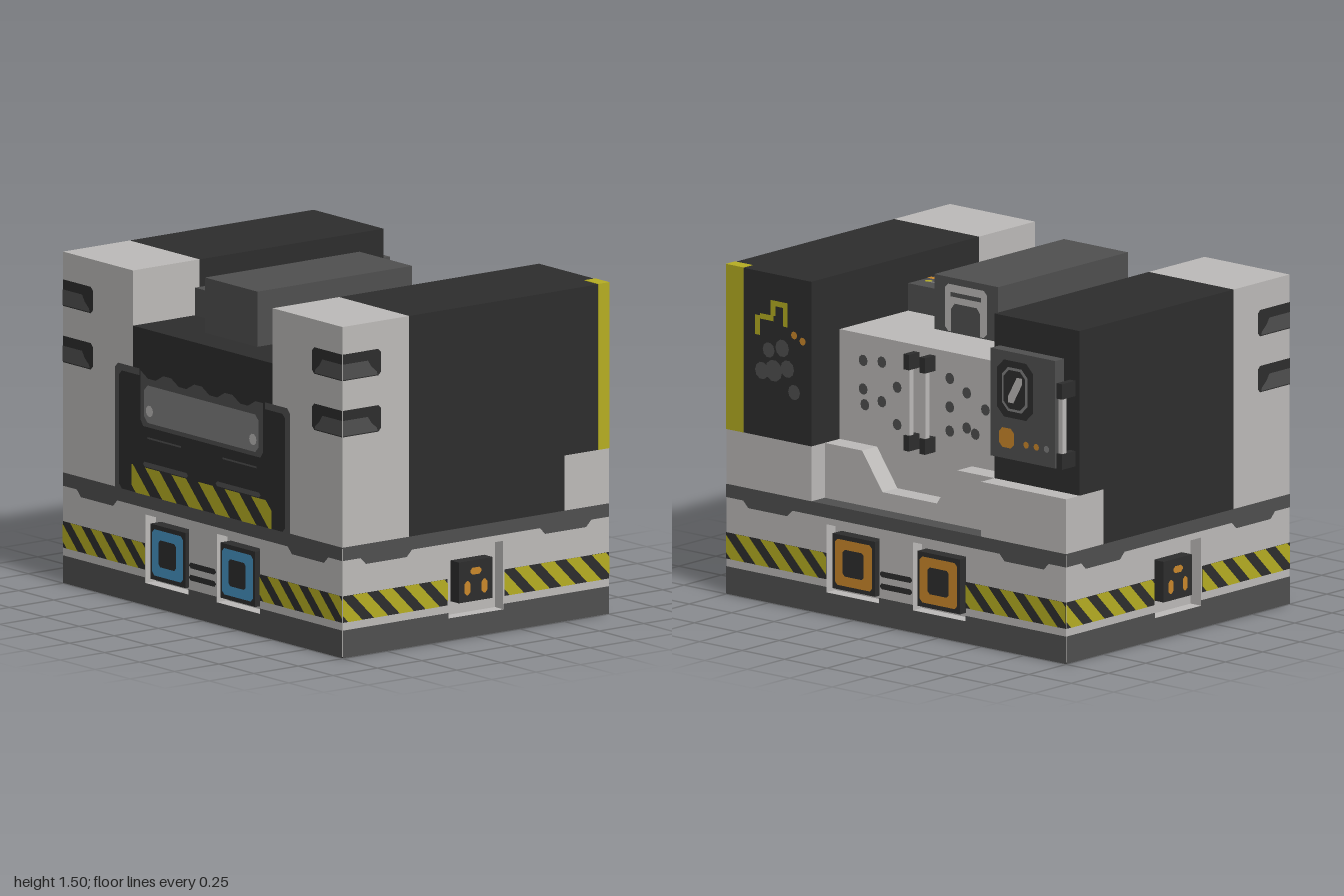
import * as THREE from 'three';

const mat = (name, color) => Object.assign(new THREE.MeshStandardMaterial({ color }), { name });
const M = {
  light: mat('light grey', 0xbcbab8), dark: mat('dark grey', 0x4f4f4f), black: mat('charcoal', 0x2d2d2d),
  mid: mat('mid grey', 0x7d7d7d), yellow: mat('yellow', 0xb5ad22), orange: mat('orange', 0xc9872b),
  blue: mat('blue', 0x4695c4),
};

function add(parent, name, geo, m) {
  const mesh = new THREE.Mesh(geo, m);
  mesh.name = name;
  parent.add(mesh);
  return mesh;
}
// box given by its limits
function box(parent, name, m, x0, x1, y0, y1, z0, z1) {
  const b = add(parent, name, new THREE.BoxGeometry(x1 - x0, y1 - y0, z1 - z0), m);
  b.position.set((x0 + x1) / 2, (y0 + y1) / 2, (z0 + z1) / 2);
  return b;
}
const shape = (pts) => new THREE.Shape(pts.map((p) => new THREE.Vector2(p[0], p[1])));
const rect = (x0, x1, y0, y1) => [[x0, y0], [x1, y0], [x1, y1], [x0, y1]];
const mirrorX = (pts) => pts.map(([x, y]) => [-x, y]);
// rectangle with cut corners
const cut = (x0, x1, y0, y1, c) => [[x0 + c, y0], [x1 - c, y0], [x1, y0 + c], [x1, y1 - c],
  [x1 - c, y1], [x0 + c, y1], [x0, y1 - c], [x0, y0 + c]];
// flat painted face, lifted a little per layer
function paint(parent, name, m, pts, layer = 1) {
  const f = add(parent, name, new THREE.ShapeGeometry(shape(pts)), m);
  f.position.z = 0.002 * layer;
  return f;
}
function disc(parent, name, m, x, y, r, layer = 1) {
  add(parent, name, new THREE.CircleGeometry(r, 10), m).position.set(x, y, 0.002 * layer);
}
// local frame on a wall: x right, y up, z outward
function wall(parent, name, x, z, turn) {
  const g = new THREE.Group();
  g.name = name;
  g.position.set(x, 0, z);
  g.rotation.y = turn;
  parent.add(g);
  return g;
}
// charcoal strip with slanted yellow stripes, clipped to the strip
function hazard(parent, x0, x1, y0, y1, period) {
  paint(parent, 'hazardStrip', M.black, rect(x0, x1, y0, y1), 1);
  const h = y1 - y0, w = period * 0.55;
  for (let x = x0 - h + 0.03; x < x1; x += period) {
    const pts = [];
    const ends = [[x + h, y0], [x + h + w, y0], [x + w, y1], [x, y1]];
    // clip the slanted stripe against both ends
    let poly = ends;
    for (const [lim, s] of [[x0, 1], [x1, -1]]) {
      const out = [];
      poly.forEach((a, i) => {
        const b = poly[(i + 1) % poly.length];
        const da = (a[0] - lim) * s, db = (b[0] - lim) * s;
        if (da >= 0) out.push(a);
        if (da * db < 0) out.push([lim, a[1] + (b[1] - a[1]) * da / (da - db)]);
      });
      poly = out;
    }
    pts.push(...poly);
    if (pts.length > 2) paint(parent, 'hazardStripe', M.yellow, pts, 2);
  }
}

// one side of the base: recessed panel, trim, skirt and hazard strips
function baseSide(g, w, centres) {
  const panel = shape(rect(-w, w, 0.006, 0.494));
  centres.forEach((c) => panel.holes.push(new THREE.Path(
    rect(c - 0.155, c + 0.155, 0.1, 0.41).map((p) => new THREE.Vector2(...p)))));
  add(g, 'basePanel', new THREE.ExtrudeGeometry(panel, { depth: 0.06, bevelEnabled: false }), M.light).position.z = -0.06;
  const skirt = [[-w, 0], [w, 0], [w, 0.125]];
  [...centres].reverse().forEach((c) => skirt.push([c + 0.155, 0.125], [c + 0.155, 0.1], [c - 0.155, 0.1], [c - 0.155, 0.125]));
  paint(g, 'skirt', M.dark, [...skirt, [-w, 0.125]]);
  const bump = [[w - 0.1, 0.44], [w - 0.13, 0.41], [w - 0.36, 0.41], [w - 0.39, 0.44]];
  paint(g, 'trim', M.dark, [[-w, 0.5], [-w, 0.44], ...mirrorX(bump), ...bump.slice().reverse(), [w, 0.44], [w, 0.5]]);
  const inner = centres.length > 1 ? 0.41 : 0.16;
  hazard(g, -w, -inner, 0.16, 0.28, 0.145);
  hazard(g, inner, w, 0.16, 0.28, 0.145);
}

export function createModel() {
  const root = new THREE.Group();
  root.name = 'machine';

  // base
  box(root, 'baseCore', M.light, -0.94, 0.94, 0.006, 0.494, -0.69, 0.69);
  box(root, 'baseBottom', M.black, -1, 1, 0, 0.006, -0.75, 0.75);
  box(root, 'baseTop', M.dark, -1, 1, 0.494, 0.5, -0.75, 0.75);
  const under = new THREE.Group();
  under.name = 'underside';
  under.rotation.x = Math.PI / 2;
  root.add(under);
  paint(under, 'underPanel', M.dark, cut(-0.68, 0.68, -0.42, 0.42, 0.17));
  for (const s of [-1, 1]) paint(under, 'underSlot', M.dark, cut(-0.38, 0.38, s * 0.58 - 0.03, s * 0.58 + 0.03, 0.028));

  const front = wall(root, 'frontWall', 0, 0.75, 0);
  const back = wall(root, 'backWall', 0, -0.75, Math.PI);
  const left = wall(root, 'leftWall', 1, 0, Math.PI / 2);
  const right = wall(root, 'rightWall', -1, 0, -Math.PI / 2);

  // square ports, front and back
  for (const [g, m] of [[front, M.blue], [back, M.orange]]) {
    baseSide(g, 1, [-0.255, 0.255]);
    for (const c of [-0.25, 0.25]) {
      box(g, 'port', M.black, c - 0.125, c + 0.125, 0.125, 0.375, -0.07, 0);
      paint(g, 'portRing', m, cut(c - 0.11, c + 0.11, 0.145, 0.355, 0.015), 1);
      paint(g, 'portCentre', M.black, cut(c - 0.062, c + 0.062, 0.19, 0.312, 0.012), 2);
    }
    for (const y of [0.18, 0.235]) paint(g, 'slot', M.black, cut(-0.095, 0.095, y - 0.013, y + 0.013, 0.01));
  }
  // sockets on both sides
  for (const g of [left, right]) {
    baseSide(g, 0.75, [0]);
    box(g, 'socket', M.black, -0.095, 0.095, 0.16, 0.345, -0.07, 0);
    paint(g, 'socketPin', M.orange, cut(-0.032, 0.032, 0.28, 0.312, 0.012));
    for (const x of [-0.048, 0.048]) paint(g, 'socketPin', M.orange, cut(x - 0.016, x + 0.016, 0.19, 0.255, 0.012));
  }

  // corner pillars, side housings and rear feet
  for (const s of [-1, 1]) {
    const [a, b] = s > 0 ? [0.5, 1] : [-1, -0.5];
    box(root, 'frontPillar', M.light, a, b, 0.5, 1.5, 0.375, 0.75);
    box(root, 'sideHousing', M.black, a, b, 0.5, 1.5, -0.5, 0.375);
    box(root, 'rearHousing', M.black, a, b, 0.75, 1.5, s > 0 ? -0.75 : -0.66, -0.5);
    box(root, 'rearFoot', M.light, a, b, 0.5, 0.75, -0.75, -0.5);
    // vents wrapping the pillar corner
    const side = s > 0 ? left : right;
    for (const y of [1.0, 1.255]) {
      const ventAt = (g, edge, dir) => {
        const put = (pts) => {
          const p = pts.map(([u, v]) => [edge - dir * u, y + v]);
          return dir > 0 ? p.reverse() : p;
        };
        paint(g, 'vent', M.black, put([[0, 0], [0.2, 0], [0.215, 0.015], [0.215, 0.105], [0.2, 0.12], [0, 0.12]]), 1);
        paint(g, 'ventFloor', M.dark, put([[0, 0.005], [0.195, 0.005], [0.19, 0.02], [0.16, 0.045], [0.14, 0.075], [0, 0.075]]), 2);
      };
      ventAt(front, s, s);
      ventAt(side, -s * 0.75, -s);
    }
  }

  // front body with window and loading slot
  box(root, 'frontBody', M.black, -0.5, 0.5, 0.5, 1.25, 0.4, 0.75);
  paint(front, 'windowFrame', M.dark, cut(-0.625, 0.625, 0.47, 1.065, 0.02), 1);
  paint(front, 'windowInside', M.black, cut(-0.595, 0.595, 0.5, 1.035, 0.02), 2);
  paint(front, 'upperPanel', M.black, rect(-0.45, 0.45, 1.03, 1.25), 2);
  const teeth = [];
  for (let i = 0; i <= 16; i++) teeth.push([0.44 - i * 0.055, i % 4 < 2 ? 1.06 : 1.03]);
  paint(front, 'screenSurround', M.dark, [[-0.42, 0.81], [0.42, 0.81], [0.44, 0.84], ...teeth, [-0.44, 0.84]], 3);
  paint(front, 'screen', M.mid, cut(-0.41, 0.41, 0.83, 1.0, 0.025), 4);
  for (const s of [-1, 1]) {
    disc(front, 'screenLamp', M.light, s * 0.37, 0.885, 0.026, 5);
    paint(front, 'slotLine', M.dark, rect(s * 0.27 - 0.12, s * 0.27 + 0.12, 0.757, 0.765), 3);
    paint(front, 'slotLip', M.dark, cut(s * 0.26 - 0.16, s * 0.26 + 0.16, 0.628, 0.65, 0.01), 3);
  }
  const sill = new THREE.Group();
  sill.name = 'slotSill';
  sill.position.z = 0.004;
  front.add(sill);
  hazard(sill, -0.5, 0.5, 0.5, 0.625, 0.19);

  // circuit deck
  box(root, 'circuitDeck', M.dark, -0.5, 0.5, 0.5, 1.375, -0.1, 0.4);
  const deck = new THREE.Group();
  deck.name = 'circuits';
  deck.position.y = 1.375;
  deck.rotation.x = -Math.PI / 2;
  root.add(deck);
  const traces = [[[0.5, 0.04], [0.265, 0.04], [0.265, -0.02], [0.18, -0.02]], [[0.5, 0.105], [0.18, 0.105]],
    [[0.5, 0.165], [0.325, 0.165], [0.325, 0.23], [0.18, 0.23]], [[0.5, 0.23], [0.39, 0.23], [0.39, 0.325], [0.18, 0.325]]];
  for (const s of [-1, 1]) {
    for (const t of traces) {
      for (let i = 1; i < t.length; i++) {
        const xs = [s * t[i - 1][0], s * t[i][0]].sort((p, q) => p - q);
        const ys = [-t[i - 1][1], -t[i][1]].sort((p, q) => p - q);
        const e = i < t.length - 1 || t.length > 2 ? 0.014 : 0;
        const x0 = Math.max(xs[0] - e, -0.5), x1 = Math.min(xs[1] + e, 0.5);
        paint(deck, 'trace', M.orange, rect(x0, x1, ys[0] - 0.014, ys[1] + 0.014), 1);
      }
    }
    paint(deck, 'contactLine', M.mid, rect(s * 0.39 - 0.07, s * 0.39 + 0.07, 0.013, 0.027), 1);
    for (const x of [0.325, 0.385, 0.45]) disc(deck, 'contact', M.yellow, s * x, 0.02, 0.017, 2);
  }

  // central spine with a hatch on its back end
  box(root, 'spine', M.dark, -0.1875, 0.1875, 1.25, 1.5, -0.28, 0.59);
  const hatch = wall(root, 'spineHatch', 0, -0.28, Math.PI);
  paint(hatch, 'hatchPlate', M.light, cut(-0.125, 0.125, 1.255, 1.47, 0.02), 1);
  paint(hatch, 'hatchSlot', M.dark, rect(-0.09, 0.09, 1.415, 1.435), 2);
  paint(hatch, 'hatchDoor', M.dark, [[-0.085, 1.255], [0.085, 1.255], [0.085, 1.36], [0.065, 1.385], [-0.065, 1.385], [-0.085, 1.36]], 2);

  // rear body, stepped ledge, holes and handles
  box(root, 'rearBody', M.light, -0.5, 0.5, 0.5, 1.25, -0.56, -0.1);
  const ledge = shape([[-0.5, 0.5], [0.5, 0.5], [0.5, 0.75], [0.28, 0.75], [0.16, 0.58], [-0.16, 0.58], [-0.28, 0.75], [-0.5, 0.75]]);
  add(root, 'ledge', new THREE.ExtrudeGeometry(ledge, { depth: 0.1, bevelEnabled: false }), M.light).position.z = -0.66;
  const rear = wall(root, 'rearDetails', 0, -0.56, Math.PI);
  for (const [x, y] of [[-0.36, 1.13], [-0.36, 1.0], [-0.35, 0.93], [-0.25, 1.14], [-0.25, 0.96], [-0.16, 1.04], [-0.16, 0.87],
    [0.15, 1.13], [0.15, 1.0], [0.15, 0.89], [0.25, 1.08], [0.25, 0.92], [0.3, 0.9], [0.36, 1.02]]) {
    disc(rear, 'hole', M.dark, x, y, 0.026);
  }
  // upright grab bar with two brackets
  function grab(g, x, y0, y1, reach) {
    for (const y of [y0, y1 - 0.07]) box(g, 'grabBracket', M.black, x - 0.016, x + 0.016, y, y + 0.07, 0, reach);
    box(g, 'grabBar', M.light, x - 0.012, x + 0.012, y0 + 0.07, y1 - 0.07, reach - 0.035, reach - 0.008);
  }
  for (const x of [-0.047, 0.047]) grab(rear, x, 0.78, 1.22, 0.07);

  // control box on the right rear housing
  const ctrl = wall(root, 'controlBox', -0.72, -0.66, Math.PI);
  box(ctrl, 'controlCase', M.dark, -0.19, 0.19, 0.87, 1.36, 0, 0.06);
  grab(ctrl, 0.24, 0.88, 1.27, 0.09);
  const dial = wall(ctrl, 'controlFace', 0, 0.06, 0);
  paint(dial, 'display', M.black, cut(-0.15, 0.06, 1.06, 1.32, 0.04), 1);
  paint(dial, 'displayRim', M.mid, cut(-0.12, 0.03, 1.09, 1.29, 0.035), 2);
  paint(dial, 'displayGlass', M.black, cut(-0.108, 0.018, 1.102, 1.278, 0.03), 3);
  paint(dial, 'displayMark', M.light, [[-0.08, 1.13], [-0.05, 1.13], [0.0, 1.22], [0.0, 1.25], [-0.03, 1.25], [-0.08, 1.16]], 4);
  paint(dial, 'button', M.orange, cut(-0.14, -0.05, 0.92, 1.01, 0.02), 1);
  for (const x of [0.02, 0.08, 0.14]) disc(dial, 'indicator', x < 0.1 ? M.orange : M.mid, x, 0.95, 0.016);

  // yellow corner guard on the left rear housing
  box(root, 'cornerGuard', M.yellow, 0.9, 1.002, 0.75, 1.502, -0.752, -0.69);
  // worn markings on its back
  const marks = [[-0.83, -0.8, 1.21, 1.3], [-0.8, -0.72, 1.285, 1.31], [-0.74, -0.71, 1.31, 1.38], [-0.71, -0.64, 1.355, 1.38], [-0.665, -0.64, 1.27, 1.36]];
  for (const r of marks) paint(back, 'marking', M.yellow, rect(...r));
  for (const [x, y] of [[-0.6, 1.24], [-0.55, 1.22]]) disc(back, 'markingDot', M.orange, x, y, 0.018);
  for (const [x, y, r] of [[-0.75, 1.15, 0.035], [-0.67, 1.17, 0.04], [-0.79, 1.05, 0.04], [-0.72, 1.06, 0.05], [-0.64, 1.08, 0.04], [-0.6, 0.98, 0.035]]) {
    disc(back, 'wornPatch', M.dark, x, y, r);
  }
  return root;
}
